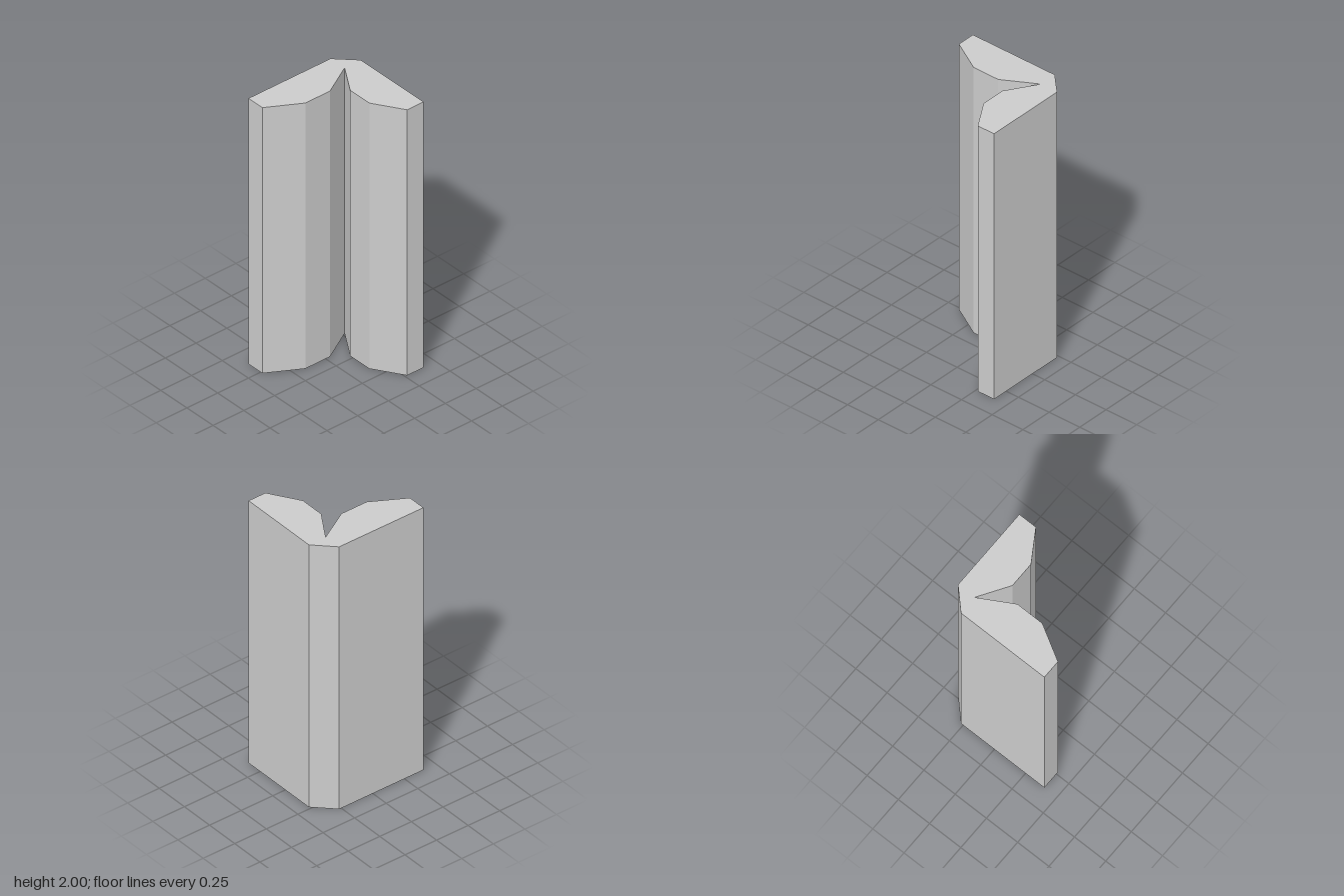
import * as THREE from 'three';

export function createModel() {
  const group = new THREE.Group();
  group.name = 'cornerColumn';

  // Footprint as [x, z]: two faceted arms meeting at a chamfered back corner
  const outline = [
    [-0.367, -0.267], [-0.234, -0.4],                   // chamfered corner
    [0.365, -0.4], [0.365, -0.267],                     // back arm, outer side and end
    [0.157, -0.136], [-0.025, -0.136],                  // back arm, inner facets
    [-0.234, -0.268],                                   // sharp inner notch
    [-0.1, -0.035], [-0.1, 0.165],                      // side arm, inner facets
    [-0.234, 0.4], [-0.367, 0.4],                       // side arm, end
  ];
  const shape = new THREE.Shape(outline.map(([x, z]) => new THREE.Vector2(x, -z)));

  // Extrude the footprint and stand it upright
  const geometry = new THREE.ExtrudeGeometry(shape, { depth: 2, bevelEnabled: false });
  geometry.rotateX(-Math.PI / 2);

  const material = new THREE.MeshStandardMaterial({ color: 0xcccccc, flatShading: true });
  const column = new THREE.Mesh(geometry, material);
  column.name = 'columnBody';
  group.add(column);
  return group;
}
